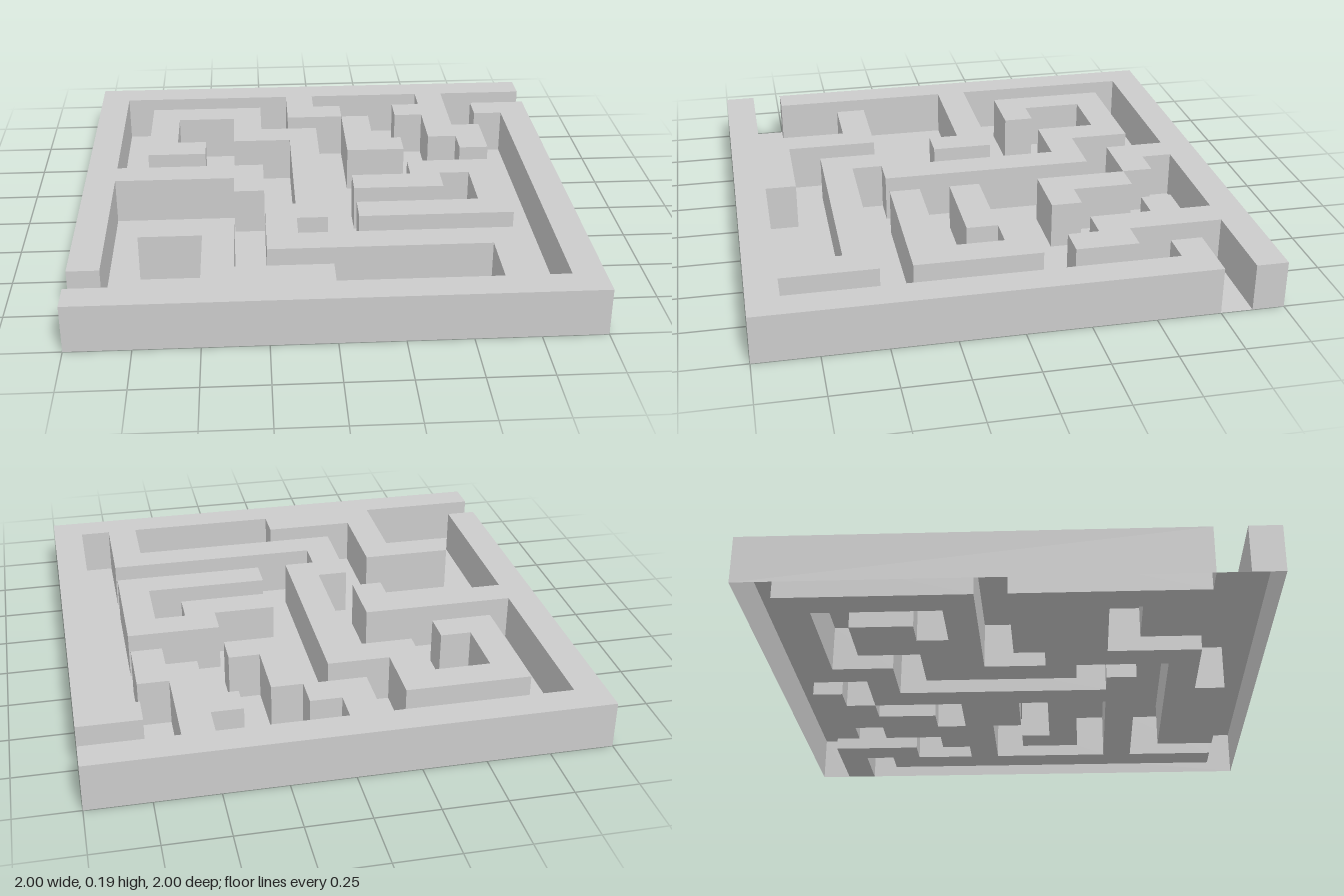
import * as THREE from 'three';

const CELL = 0.125;   // maze grid step, 16 x 16 cells
const HEIGHT = 0.19;

const material = new THREE.MeshStandardMaterial({
  color: 0xcccccc, flatShading: true, side: THREE.DoubleSide,
});

// Point on the grid (column, row) in plan, with plan y = -z
const at = (col, row) => new THREE.Vector2(col * CELL - 1, 1 - row * CELL);

// Right-angled path: each turn alternately sets a new column, then a new row
function trace(col, row, turns) {
  const points = [at(col, row)];
  turns.forEach((value, i) => {
    if (i % 2 === 0) col = value; else row = value;
    points.push(at(col, row));
  });
  return points;
}

function addMesh(parent, name, geometry) {
  const mesh = new THREE.Mesh(geometry, material);
  mesh.name = name;
  parent.add(mesh);
}

// Flat horizontal face at a given height
function flatFace(outline, y, holes = []) {
  const shape = new THREE.Shape(outline);
  shape.holes = holes.map((hole) => new THREE.Path(hole));
  return new THREE.ShapeGeometry(shape).rotateX(-Math.PI / 2).translate(0, y, 0);
}

// Vertical faces along a closed outline
function sideFaces(outline) {
  const loop = THREE.ShapeUtils.area(outline) < 0 ? [...outline].reverse() : outline;
  const positions = [];
  loop.forEach((a, i) => {
    const b = loop[(i + 1) % loop.length];
    const [a0, b0, b1, a1] = [[a, 0], [b, 0], [b, HEIGHT], [a, HEIGHT]]
      .map(([p, y]) => [p.x, y, -p.y]);
    positions.push(...a0, ...b0, ...b1, ...a0, ...b1, ...a1);
  });
  const geometry = new THREE.BufferGeometry();
  geometry.setAttribute('position', new THREE.Float32BufferAttribute(positions, 3));
  geometry.computeVertexNormals();
  return geometry;
}

// Hollow wall block: top and sides, open underneath
function makeWall(name, outline) {
  const wall = new THREE.Group();
  wall.name = name;
  addMesh(wall, name + 'Top', flatFace(outline, HEIGHT));
  addMesh(wall, name + 'Sides', sideFaces(outline));
  return wall;
}

export function createModel() {
  const model = new THREE.Group();
  model.name = 'maze';

  // Corridor edge of the back and right-hand walls, from entrance to exit
  const backEdge = trace(0, 14, [
    1, 8, 5, 9, 6, 7, 1, 1, 7, 3, 9, 6, 11, 5, 10, 3, 9, 2, 8, 1,
    12, 2, 11, 3, 12, 5, 13, 6, 14, 4, 13, 1, 16,
  ]);

  // Corridor edge of the front walls, from entrance to exit
  const frontEdge = trace(0, 15, [
    4, 12, 2, 11, 5, 14, 8, 15, 13, 13, 6, 10, 7, 5, 5, 3, 3, 5, 4, 6,
    2, 2, 6, 4, 8, 11, 7, 12, 14, 15, 15, 3, 14, 2, 16,
  ]);

  // Free-standing hooked wall
  const island = trace(11, 7, [14, 11, 9, 10, 13, 8, 12, 9, 9, 8, 11]);

  model.add(makeWall('backWall', [...backEdge, at(16, 0), at(0, 0)]));
  model.add(makeWall('frontWall', [...frontEdge, at(16, 16), at(0, 16)]));
  model.add(makeWall('islandWall', island));

  // Corridor floor between the walls
  addMesh(model, 'corridorFloor',
    flatFace([...backEdge, ...[...frontEdge].reverse()], 0, [island]));

  return model;
}
